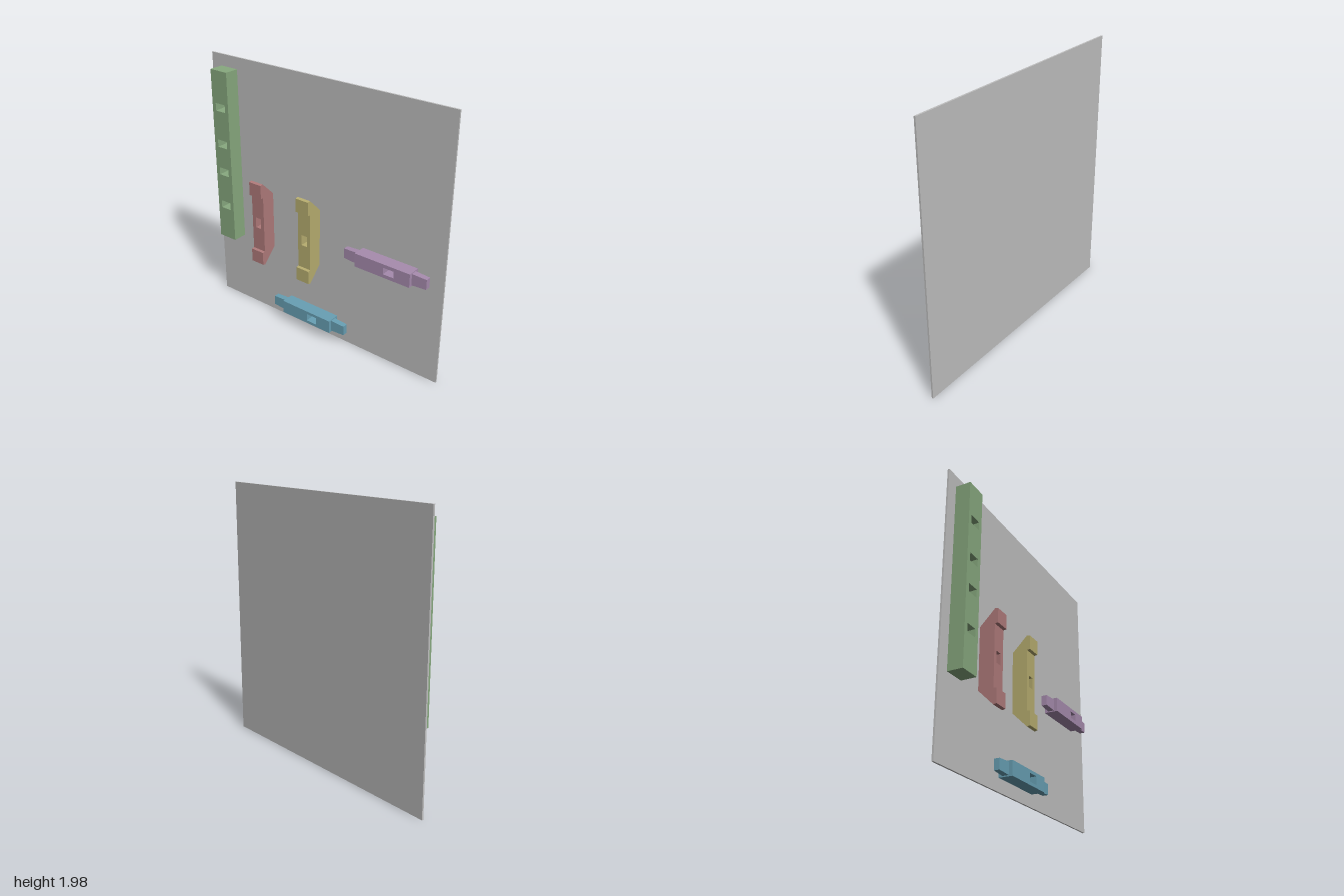
import * as THREE from 'three';

const BACK = -0.06; // front face of the board, where every part rests

const paint = (name, color) => {
  const m = new THREE.MeshStandardMaterial({ color });
  m.name = name;
  return m;
};

function addMesh(parent, name, geometry, material) {
  const mesh = new THREE.Mesh(geometry, material);
  mesh.name = name;
  parent.add(mesh);
  return mesh;
}

// Bar lying on the board with rectangular mortises that flare on one side
function mortisedBar(w, h, front, holes, hw, hh, flareFront) {
  const depth = front - BACK, flare = 0.004;
  const rect = (path, cx, cy, a, b) => path.moveTo(cx - a / 2, cy - b / 2)
    .lineTo(cx + a / 2, cy - b / 2).lineTo(cx + a / 2, cy + b / 2)
    .lineTo(cx - a / 2, cy + b / 2).closePath();
  const shape = rect(new THREE.Shape(), 0, 0, w, h);
  for (const [x, y] of holes) shape.holes.push(rect(new THREE.Path(), x, y, hw, hh));
  const g = new THREE.ExtrudeGeometry(shape, { depth, bevelEnabled: false });
  const p = g.attributes.position;
  for (let i = 0; i < p.count; i++) {
    if ((p.getZ(i) > depth / 2) !== flareFront) continue;
    for (const [x, y] of holes) {
      const dx = p.getX(i) - x, dy = p.getY(i) - y;
      if (Math.abs(dx) > hw / 2 + 1e-4 || Math.abs(dy) > hh / 2 + 1e-4) continue;
      p.setXY(i, x + dx + Math.sign(dx) * flare, y + dy + Math.sign(dy) * flare);
      break;
    }
  }
  g.computeVertexNormals();
  return g.translate(0, 0, BACK);
}

// Rail with a tapered tenon at each end
function rail(name, x, y, material, flareFront) {
  const group = new THREE.Group();
  group.name = name;
  group.position.set(x, y, 0);
  addMesh(group, name + 'Body', mortisedBar(0.44, 0.102, 0.038, [[0.055, 0]], 0.082, 0.05, flareFront), material);
  for (const side of [1, -1]) {
    const g = new THREE.BoxGeometry(0.11, 0.086, 0.046);
    const p = g.attributes.position;
    for (let i = 0; i < p.count; i++) {
      if (p.getX(i) * side > 0) p.setXYZ(i, p.getX(i), p.getY(i) * 0.87, p.getZ(i) * 0.87);
    }
    g.computeVertexNormals();
    addMesh(group, side > 0 ? 'leftTenon' : 'rightTenon', g, material)
      .position.set(side * 0.275, 0, -0.011);
  }
  return group;
}

// Upright bracket with raised feet and ends cut back at an angle
function bracket(name, x, material) {
  const group = new THREE.Group();
  group.name = name;
  group.position.set(x, 0.797, 0);
  const width = 0.11, half = 0.222;
  addMesh(group, name + 'Body', mortisedBar(width, half * 2, 0.05, [[0, 0]], 0.05, 0.082, false), material);
  for (const side of [1, -1]) {
    const outline = [[BACK, half], [0.05, half], [0.073, half + 0.003], [0.073, 0.328], [0.05, 0.333]]
      .map(([z, y]) => new THREE.Vector2(-z, y * side));
    const g = new THREE.ExtrudeGeometry(new THREE.Shape(outline), { depth: width, bevelEnabled: false });
    g.translate(0, 0, -width / 2).rotateY(Math.PI / 2);
    addMesh(group, side > 0 ? 'upperEnd' : 'lowerEnd', g, material);
  }
  return group;
}

export function createModel() {
  const model = new THREE.Group();
  model.name = 'joineryBoard';
  const grey = paint('board grey', 0xc0c0c0);
  const green = paint('post green', 0x88a97f);
  const red = paint('bracket red', 0xb07b7b);
  const yellow = paint('bracket yellow', 0xb8ae70);
  const purple = paint('rail purple', 0xa78cae);
  const blue = paint('rail blue', 0x68a0b4);

  // Backing board
  addMesh(model, 'backBoard', new THREE.BoxGeometry(2, 1.98, 0.013), grey)
    .position.set(0, 0.99, -0.0665);

  // Tall post with four mortises
  const postY = 1.231;
  const mortises = [0.845, 1.12, 1.342, 1.622].map(y => [0, y - postY]);
  addMesh(model, 'post', mortisedBar(0.152, 1.326, 0.05, mortises, 0.082, 0.05, true), green)
    .position.set(-0.838, postY, 0);

  model.add(
    bracket('outerBracket', -0.51, red),
    bracket('innerBracket', -0.074, yellow),
    rail('upperRail', 0.578, 0.795, purple, false),
    rail('lowerRail', -0.074, 0.142, blue, true)
  );
  return model;
}
